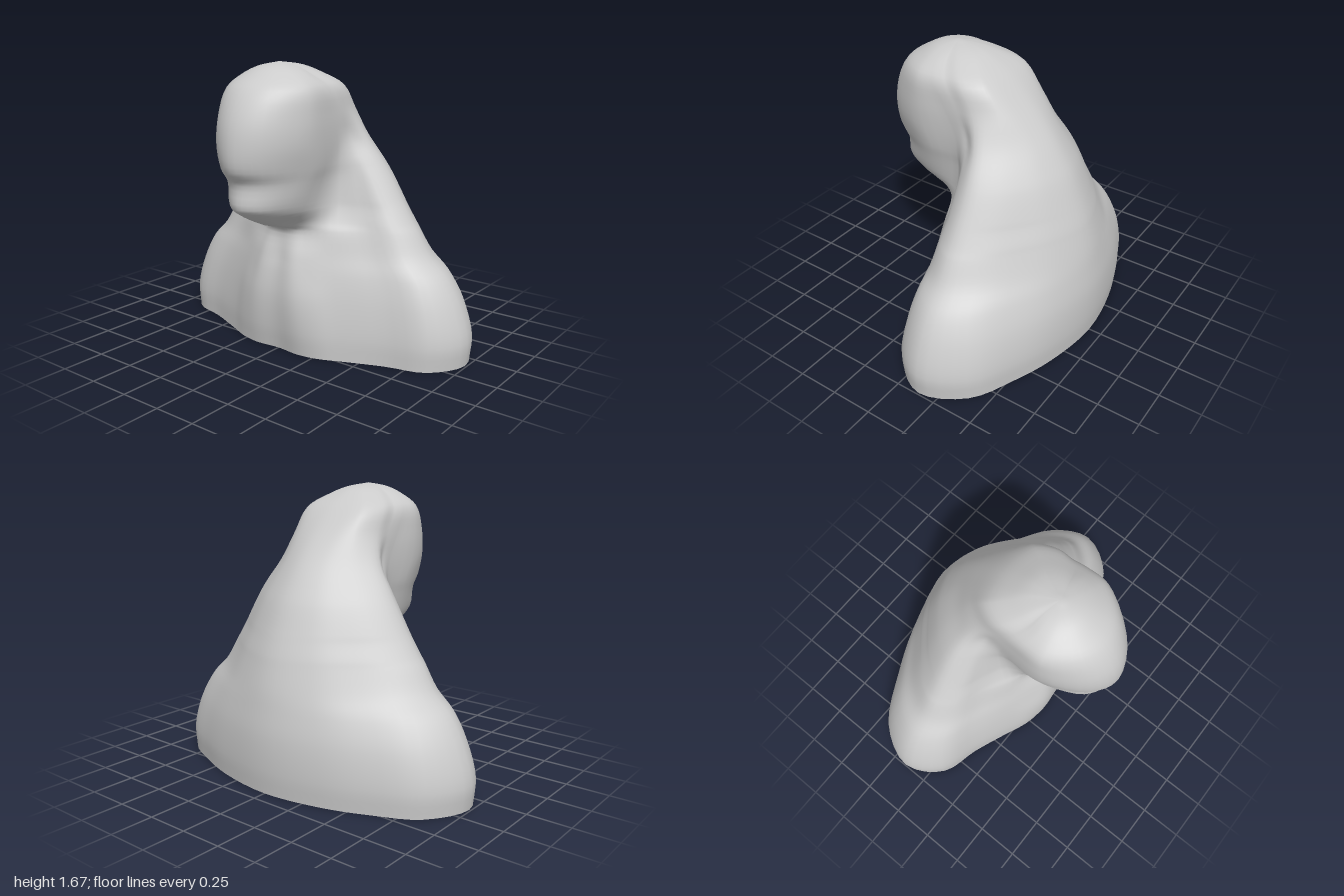
import * as THREE from 'three';

// Each section: height, front z, front half width, front corner setback,
// side crease x and z, tip thickness, tip x and z, back z
const torsoSections = [
  [0.01, 0.32, 0.28, 0.03, 0.41, 0.235, 0.21, 0.99, -0.14, -0.67],
  [0.15, 0.345, 0.27, 0.04, 0.40, 0.24, 0.21, 1.00, -0.14, -0.685],
  [0.34, 0.355, 0.24, 0.05, 0.37, 0.23, 0.19, 0.945, -0.14, -0.685],
  [0.49, 0.335, 0.20, 0.05, 0.34, 0.21, 0.16, 0.86, -0.135, -0.665],
  [0.60, 0.305, 0.17, 0.04, 0.31, 0.19, 0.14, 0.75, -0.13, -0.645],
  [0.73, 0.27, 0.14, 0.04, 0.28, 0.165, 0.12, 0.67, -0.125, -0.61],
];
const headSections = [
  [0.78, 0.41, 0.12, 0.12, 0.26, 0.15, 0.12, 0.635, -0.125, -0.595],
  [0.86, 0.57, 0.17, 0.18, 0.255, 0.125, 0.11, 0.585, -0.125, -0.565],
  [0.91, 0.63, 0.20, 0.25, 0.255, 0.115, 0.11, 0.555, -0.125, -0.545],
  [1.04, 0.625, 0.245, 0.28, 0.26, 0.10, 0.10, 0.48, -0.12, -0.49],
  [1.12, 0.68, 0.27, 0.35, 0.27, 0.10, 0.09, 0.43, -0.11, -0.445],
  [1.25, 0.69, 0.285, 0.31, 0.28, 0.11, 0.08, 0.345, -0.08, -0.36],
  [1.40, 0.66, 0.29, 0.28, 0.287, 0.18, 0.09, 0.285, -0.03, -0.24],
  [1.54, 0.58, 0.27, 0.21, 0.276, 0.25, 0.09, 0.265, 0.06, -0.10],
  [1.61, 0.48, 0.185, 0.12, 0.20, 0.28, 0.07, 0.185, 0.14, 0.01],
  [1.655, 0.39, 0.095, 0.06, 0.105, 0.28, 0.04, 0.10, 0.20, 0.11],
  [1.678, 0.27, 0, 0, 0, 0.27, 0, 0, 0.27, 0.27],
];

const AROUND = 80;
const STEPS = 4;

// Closed symmetrical ring through one section's control points
function sectionRing([y, zf, h, r, xc, zc, t, w, zt, zb]) {
  const groove = y < 0.65 ? 0.02 : 0;
  const rearX = w - 0.6 * t;
  const frontX = Math.max(rearX, Math.min(w, xc));
  const rearZ = zt - 1.2 * t;
  const half = [
    [0, zf - groove],
    [0.55 * h, zf - 0.24 * r],
    [h, zf - r],
    [xc, zc],
    [(xc + frontX) / 2, (zc + zt + t) / 2 - 0.01],
    [frontX, zt + t],
    [w, zt],
    [rearX, rearZ],
    [0.62 * w, zb + 0.52 * (rearZ - zb)],
    [0.36 * w, zb + 0.19 * (rearZ - zb)],
    [0, zb],
  ];
  const mirrored = half.slice(1, -1).reverse().map(([x, z]) => [-x, z]);
  const points = [...half, ...mirrored].map(([x, z]) => new THREE.Vector3(x, y, z));
  if (w === 0) return Array.from({ length: AROUND }, () => points[0].clone());
  const curve = new THREE.CatmullRomCurve3(points, true);
  return Array.from({ length: AROUND }, (_, j) => curve.getPoint(j / AROUND));
}

// Smooth skin through all rings
function loft(rings) {
  const rows = (rings.length - 1) * STEPS;
  const columns = rings[0].map((_, j) => new THREE.CatmullRomCurve3(rings.map((ring) => ring[j])));
  const positions = [];
  const index = [];
  for (let i = 0; i <= rows; i++) {
    for (const column of columns) positions.push(...column.getPoint(i / rows).toArray());
  }
  for (let i = 0; i < rows; i++) {
    for (let j = 0; j < AROUND; j++) {
      const k = (j + 1) % AROUND;
      const a = i * AROUND + j, b = i * AROUND + k;
      const c = b + AROUND, d = a + AROUND;
      index.push(a, b, c);
      if (i < rows - 1) index.push(a, c, d);
    }
  }
  const geometry = new THREE.BufferGeometry();
  geometry.setAttribute('position', new THREE.Float32BufferAttribute(positions, 3));
  geometry.setIndex(index);
  geometry.computeVertexNormals();
  // The crown's coincident vertices share one upward normal
  for (let j = 0; j < AROUND; j++) geometry.attributes.normal.setXYZ(rows * AROUND + j, 0, 1, 0);
  return geometry;
}

export function createModel() {
  const group = new THREE.Group();
  group.name = 'hoodedBust';
  const material = new THREE.MeshStandardMaterial({ color: 0xcccccc, side: THREE.DoubleSide });
  const rings = [...torsoSections, ...headSections].map(sectionRing);
  // Open-bottomed shoulders, neck and head in one skin
  const bust = new THREE.Mesh(loft(rings), material);
  bust.name = 'headAndShoulders';
  group.add(bust);
  return group;
}
